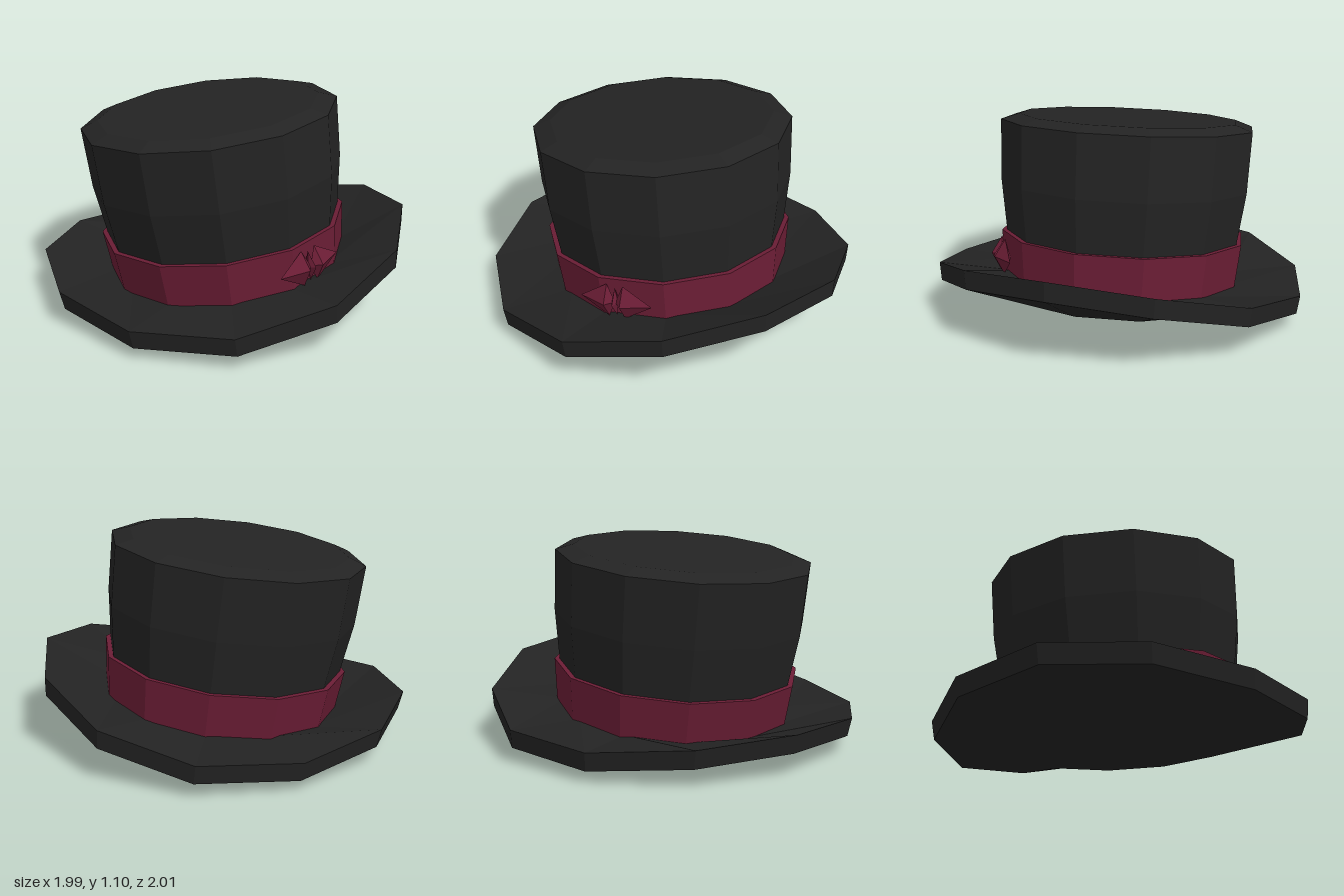
import * as THREE from 'three';
import { ConvexGeometry } from 'three/addons/geometries/ConvexGeometry.js';

const SIDES = 12;

// Faceted twelve-sided solid from a [radius, height] profile; bend moves its points first
function turned(name, profile, material, bend) {
  const points = profile.map(([r, y]) => new THREE.Vector2(r, y));
  const indexed = new THREE.LatheGeometry(points, SIDES);
  if (bend) bend(indexed.attributes.position);
  const geometry = indexed.toNonIndexed();
  geometry.computeVertexNormals();
  const mesh = new THREE.Mesh(geometry, material);
  mesh.name = name;
  return mesh;
}

// Faceted solid around a few corners
function gem(name, corners, material) {
  const geometry = new ConvexGeometry(corners.map((c) => new THREE.Vector3(...c)));
  const mesh = new THREE.Mesh(geometry, material);
  mesh.name = name;
  return mesh;
}

export function createModel() {
  const felt = new THREE.MeshStandardMaterial({ color: 0x232323 });
  felt.name = 'black felt';
  const ribbon = new THREE.MeshStandardMaterial({ color: 0x6b1d35 });
  ribbon.name = 'burgundy ribbon';

  const model = new THREE.Group();
  model.name = 'topHat';
  const tilted = new THREE.Group();
  tilted.name = 'tiltedHat';
  tilted.rotation.z = 0.122;
  tilted.position.set(0.037, 0.005, 0);
  model.add(tilted);

  // Brim: its outer edge curls up towards both sides
  const curl = (pos) => {
    for (let i = 0; i < pos.count; i++) {
      const x = pos.getX(i);
      if (Math.hypot(x, pos.getZ(i)) > 0.9) pos.setY(i, pos.getY(i) + 0.166 * x * x);
    }
  };
  tilted.add(turned('brim',
    [[0, 0.078], [0.635, 0.078], [0.99, 0.078], [1.003, 0.175], [0.6, 0.175]], felt, curl));

  // Crown, flaring upwards with a slightly bevelled top
  tilted.add(turned('crown',
    [[0.6, 0.165], [0.643, 0.405], [0.68, 0.68], [0.69, 1.007], [0.595, 1.04], [0, 1.04]], felt));

  // Ribbon band with a narrow top ledge
  tilted.add(turned('band', [[0.645, 0.16], [0.67, 0.405], [0.635, 0.405]], ribbon));

  // Bow: two pointed loops and a narrow knot
  const bow = new THREE.Group();
  bow.name = 'bow';
  bow.position.set(0.414, 0.287, 0.528);
  bow.rotation.y = 0.67;
  for (const side of [-1, 1]) {
    const base = side * 0.045;
    bow.add(gem(side < 0 ? 'rightLoop' : 'leftLoop', [
      [side * 0.2, 0, 0], [0, 0, 0.01],
      [base, 0.095, 0], [base, -0.095, 0], [base, 0, 0.055], [base, 0, -0.03],
    ], ribbon));
  }
  bow.add(gem('knot', [
    [0, 0.08, 0], [0, -0.08, 0], [0.018, 0, 0.01], [-0.018, 0, 0.01], [0, 0, 0.05], [0, 0, -0.03],
  ], ribbon));
  tilted.add(bow);

  return model;
}
